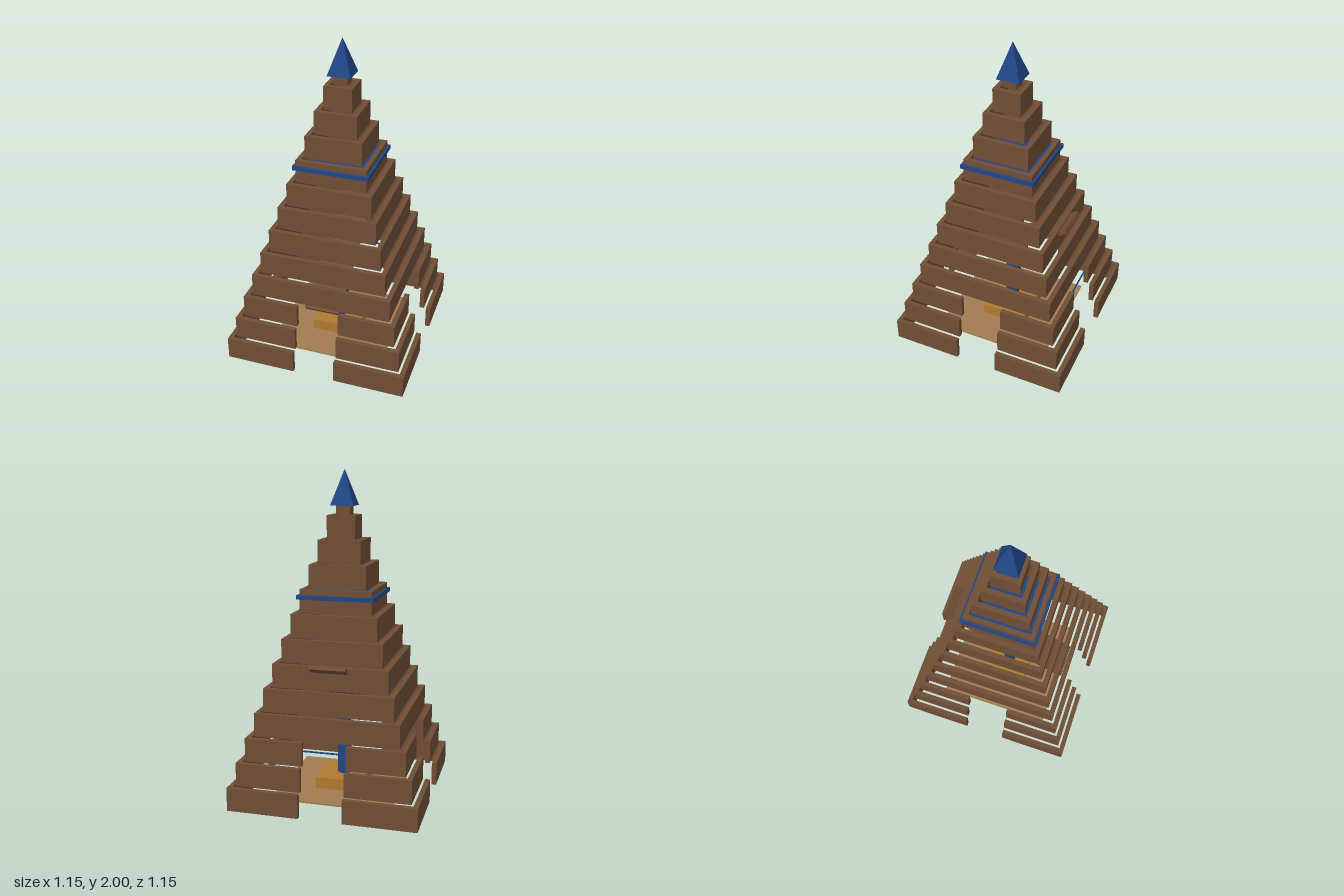
import * as THREE from 'three';

export function createModel() {
  const root = new THREE.Group();
  const material = (name, color) => {
    const m = new THREE.MeshStandardMaterial({ color });
    m.name = name;
    return m;
  };
  const brown = material('brown wood', 0x6f4e35);
  const blue = material('deep blue', 0x204585);
  const tan = material('tan floor', 0xa17b50);
  const ochre = material('ochre', 0xb07a30);

  const add = (name, geometry, mat, x = 0, y = 0, z = 0, parent = root) => {
    const mesh = new THREE.Mesh(geometry, mat);
    mesh.name = name;
    mesh.position.set(x, y, z);
    parent.add(mesh);
    return mesh;
  };
  const box = (w, h, d) => new THREE.BoxGeometry(w, h, d);
  const polygon = (pts) => pts.map(([x, y]) => new THREE.Vector2(x, y));
  const extrudeUp = (shape, height) =>
    new THREE.ExtrudeGeometry(shape, { depth: height, bevelEnabled: false }).rotateX(-Math.PI / 2);

  const STEP = 0.1442, WALL = 0.03, DOOR = 0.133, TIERS = 13;

  // Stepped hollow tiers; the lowest three are split into corners by four doorways
  for (let i = 0; i < TIERS; i++) {
    const a = 0.575 - i * 0.0443, b = a - WALL, y = i * STEP;
    const height = i === TIERS - 1 ? 0.06 : STEP;
    if (i < 3) {
      const corner = new THREE.Shape(polygon([[DOOR, b], [b, b], [b, DOOR], [a, DOOR], [a, a], [DOOR, a]]));
      const geometry = extrudeUp(corner, height);
      const group = new THREE.Group();
      group.name = 'cornerWalls' + (i + 1);
      for (let k = 0; k < 4; k++) {
        add('cornerWall', geometry, brown, 0, y, 0, group).rotation.y = (k * Math.PI) / 2;
      }
      root.add(group);
    } else {
      const ring = new THREE.Shape(polygon([[-a, -a], [a, -a], [a, a], [-a, a]]));
      ring.holes.push(new THREE.Path(polygon([[-b, -b], [-b, b], [b, b], [b, -b]])));
      add('tier' + (i + 1), extrudeUp(ring, height), brown, 0, y, 0);
    }
  }

  // Pyramid cap and flat band slab
  const cap = new THREE.ConeGeometry(0.072 * Math.SQRT2, 0.215, 4).rotateY(Math.PI / 4).toNonIndexed();
  cap.computeVertexNormals();
  add('cap', cap, blue, 0, 1.8925, 0);
  add('bandSlab', box(0.472, 0.026, 0.472), blue, 0, 1.251, 0);

  // Floor, pedestal and octagonal post with its back panel
  add('floor', box(0.74, 0.01, 0.74), tan, 0, 0.013, 0);
  add('pedestal', box(0.3, 0.076, 0.3), ochre, 0, 0.052, 0);
  const post = new THREE.CylinderGeometry(0.043, 0.043, 0.5, 8).rotateY(Math.PI / 8).toNonIndexed();
  post.computeVertexNormals();
  add('post', post, blue, 0, 0.34, 0);
  add('postPanel', box(0.05, 0.2, 0.012), blue, 0, 0.315, -0.044);

  // Sloping plank running from the front doorway up through the back wall
  const rise = 0.495, run = 0.8;
  const plank = add('slopingPlank', box(0.22, 0.022, Math.hypot(rise, run)), brown, 0, 0.6225, 0);
  plank.rotation.x = Math.atan2(rise, run);

  // Thin rail across the back doorway
  add('backRail', box(0.91, 0.008, 0.008), blue, 0, 0.375, -0.456);

  return root;
}
